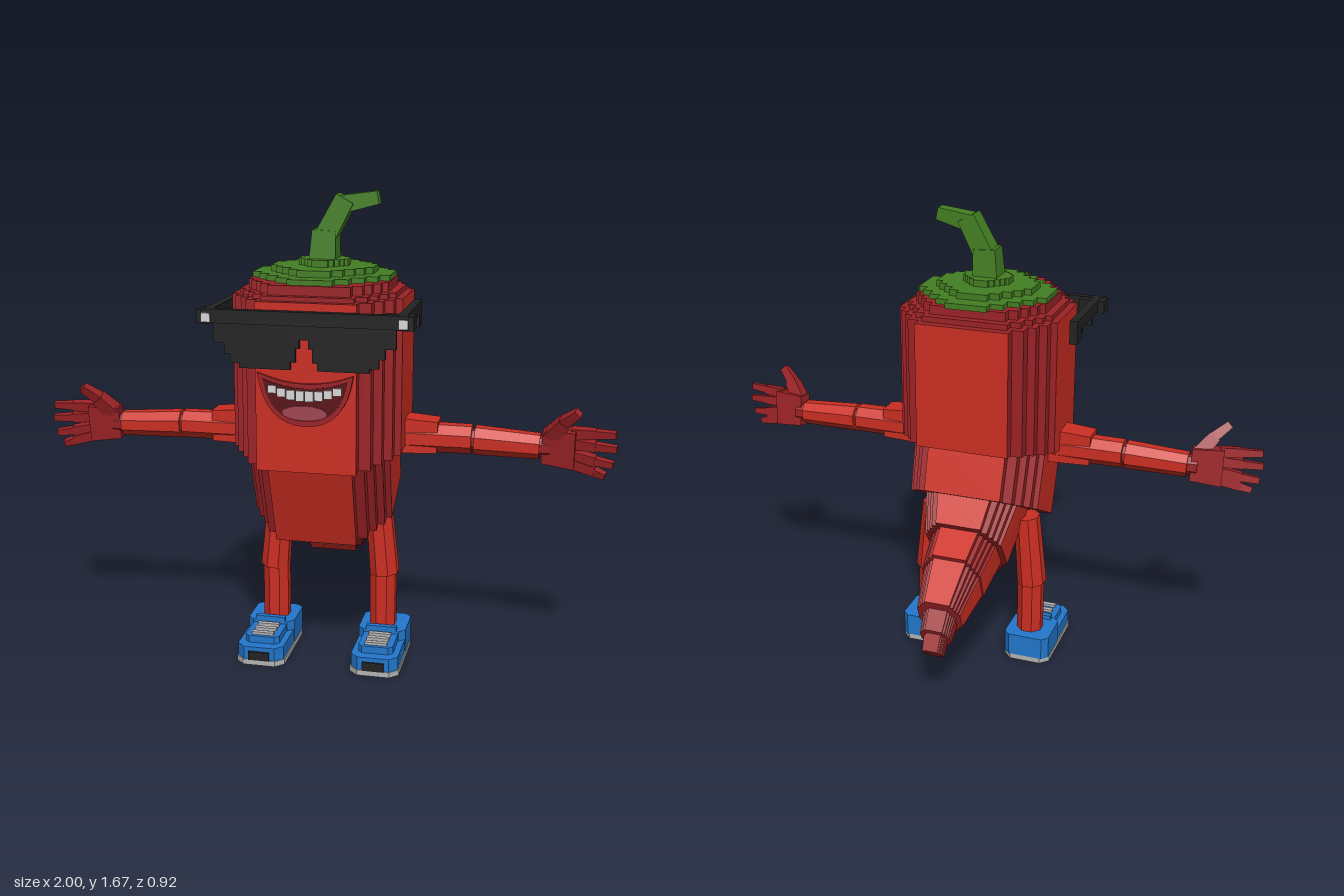
import * as THREE from 'three';

const mat = (name, color) => {
  const m = new THREE.MeshStandardMaterial({ color });
  m.name = name;
  return m;
};

export function createModel() {
  const red = mat('red', 0xcc2e22), darkRed = mat('dark red', 0x9c2226);
  const green = mat('green', 0x437f22), black = mat('black', 0x222222);
  const blue = mat('blue', 0x2277cc), grey = mat('grey', 0xb4b4b4);
  const maroon = mat('maroon', 0x5a1216), pink = mat('tongue pink', 0xa04552);
  const white = mat('tooth white', 0xd8d8d8);

  const root = new THREE.Group();
  root.name = 'pepperFigure';

  const add = (name, geo, material) => {
    const g = geo.index ? geo.toNonIndexed() : geo;
    g.computeVertexNormals();
    const mesh = new THREE.Mesh(g, material);
    mesh.name = name;
    root.add(mesh);
    return mesh;
  };
  // Box given by its two extreme values on each axis
  const box = (name, m, x0, x1, y0, y1, z0, z1) => add(name,
    new THREE.BoxGeometry(Math.abs(x1 - x0), y1 - y0, z1 - z0)
      .translate((x0 + x1) / 2, (y0 + y1) / 2, (z0 + z1) / 2), m);
  // Flat plate facing +z
  const plate = (name, m, shape, z, depth) => add(name,
    new THREE.ExtrudeGeometry(shape, { depth, bevelEnabled: false, curveSegments: 8 }).translate(0, 0, z), m);
  // Faceted rod from a to b, faces aligned with the axes
  const rod = (name, m, a, b, ra, rb, sides = 4, zScale = 1) => {
    const p = new THREE.Vector3(...a), q = new THREE.Vector3(...b), d = q.clone().sub(p);
    const k = 1 / Math.cos(Math.PI / sides);
    const g = new THREE.CylinderGeometry(rb * k, ra * k, d.length(), sides)
      .rotateY(Math.PI / sides).scale(1, 1, zScale);
    g.applyQuaternion(new THREE.Quaternion().setFromUnitVectors(new THREE.Vector3(0, 1, 0), d.normalize()));
    const c = p.add(q).multiplyScalar(0.5);
    return add(name, g.translate(c.x, c.y, c.z), m);
  };
  // Horizontal slab with cut corners
  const slab = (name, m, cx, hw, y0, y1, z0, z1, c) => {
    const h = (z1 - z0) / 2;
    const pts = [[hw, -h + c], [hw, h - c], [hw - c, h], [c - hw, h], [-hw, h - c], [-hw, c - h], [c - hw, -h], [hw - c, -h]];
    const s = new THREE.Shape(pts.map(p => new THREE.Vector2(...p)));
    const g = new THREE.ExtrudeGeometry(s, { depth: y1 - y0, bevelEnabled: false });
    return add(name, g.rotateX(-Math.PI / 2).translate(cx, y0, (z0 + z1) / 2), m);
  };

  // Stepped round outline, mirrored from one quadrant
  const stepped = q => {
    const r = [...q].reverse();
    return new THREE.Shape([
      ...q, ...r.map(([x, y]) => [-x, y]), ...q.map(([x, y]) => [-x, -y]), ...r.map(([x, y]) => [x, -y]),
    ].map(p => new THREE.Vector2(...p)));
  };
  const bodyOutline = stepped([[1, 0.43], [0.92, 0.43], [0.92, 0.57], [0.82, 0.57], [0.82, 0.7], [0.72, 0.7], [0.72, 0.86], [0.58, 0.86], [0.58, 1]]);
  const leafOutline = stepped([[1, 0.3], [0.86, 0.3], [0.86, 0.48], [0.7, 0.48], [0.7, 0.64], [0.52, 0.64], [0.52, 0.84], [0.32, 0.84], [0.32, 1]]);

  // Segment between two rings; ring = [half width, front z, front y, back z, back y]
  const segment = (name, outline, A, B, broad, steps) => {
    const g = new THREE.ExtrudeGeometry(outline, { depth: 1, bevelEnabled: false });
    const p = g.attributes.position;
    const caps = g.groups[0].count;
    g.clearGroups();
    g.addGroup(0, caps, 1);
    for (let i = caps; i < p.count; i += 6) {
      let onX = true, onY = true;
      for (let j = i; j < i + 6; j++) {
        onX = onX && Math.abs(p.getX(j)) > 0.99;
        onY = onY && Math.abs(p.getY(j)) > 0.99;
      }
      g.addGroup(i, 6, onX || onY ? 0 : 1);
    }
    for (let i = 0; i < p.count; i++) {
      const [hw, fz, fy, bz, by] = A.map((a, k) => a + (B[k] - a) * p.getZ(i));
      const t = (p.getY(i) + 1) / 2;
      p.setXYZ(i, p.getX(i) * hw, by + (fy - by) * t, bz + (fz - bz) * t);
    }
    add(name, g, [broad, steps]);
  };
  const tier = (name, outline, hw, y0, y1, z0, z1, m) =>
    segment(name, outline, [hw, z1, y1, z0, y1], [hw, z1, y0, z0, y0], m, m);

  // Body, belly and curling tail
  segment('upperBody', bodyOutline, [0.29, 0.425, 1.335, -0.15, 1.33], [0.29, 0.425, 0.77, -0.15, 0.88], red, darkRed);
  segment('belly', bodyOutline, [0.25, 0.4, 0.84, -0.08, 0.92], [0.245, 0.28, 0.475, -0.15, 0.71], red, darkRed);
  segment('tailBase', bodyOutline, [0.18, 0.13, 0.53, -0.1, 0.74], [0.145, -0.01, 0.345, -0.19, 0.61], red, darkRed);
  segment('tailMiddle', bodyOutline, [0.125, 0.01, 0.37, -0.16, 0.6], [0.11, -0.2, 0.3, -0.28, 0.53], red, darkRed);
  segment('tailEnd', bodyOutline, [0.105, -0.2, 0.305, -0.27, 0.52], [0.08, -0.345, 0.27, -0.4, 0.41], red, darkRed);
  segment('tailTip', bodyOutline, [0.06, -0.34, 0.285, -0.385, 0.385], [0.055, -0.395, 0.24, -0.435, 0.32], darkRed, darkRed);
  segment('tailPoint', bodyOutline, [0.042, -0.39, 0.25, -0.425, 0.31], [0.038, -0.42, 0.21, -0.458, 0.25], darkRed, darkRed);

  // Stepped shoulders, leafy cap and stem
  tier('topStepLow', bodyOutline, 0.265, 1.33, 1.35, -0.12, 0.4, darkRed);
  tier('topStepHigh', bodyOutline, 0.237, 1.34, 1.382, -0.09, 0.375, darkRed);
  [[0.235, 1.38, 1.4], [0.175, 1.4, 1.422], [0.085, 1.42, 1.445]].forEach(([r, y0, y1]) =>
    tier('leafCap', leafOutline, r, y0, y1, 0.13 - r, 0.13 + r, green));
  rod('stemBase', green, [0, 1.43, 0.135], [0.005, 1.54, 0.135], 0.046, 0.04);
  rod('stemMiddle', green, [0.008, 1.52, 0.135], [0.075, 1.645, 0.135], 0.036, 0.033);
  rod('stemTip', green, [0.06, 1.625, 0.135], [0.185, 1.65, 0.135], 0.03, 0.022);

  // Smiling mouth
  const smile = (w, top, dip, bottom) => {
    const s = new THREE.Shape();
    s.moveTo(-w, top);
    s.quadraticCurveTo(-w * 0.85, bottom, 0, bottom);
    s.quadraticCurveTo(w * 0.85, bottom, w, top);
    s.quadraticCurveTo(0, dip, -w, top);
    return s;
  };
  plate('lips', darkRed, smile(0.16, 1.105, 1.04, 0.93), 0.42, 0.014);
  plate('mouth', maroon, smile(0.14, 1.085, 1.03, 0.947), 0.432, 0.005);
  const tongue = new THREE.Shape().absellipse(0, 0.977, 0.075, 0.024, 0, Math.PI * 2, false);
  plate('tongue', pink, tongue, 0.434, 0.006);
  for (let i = -3.5; i <= 3.5; i++) {
    const x = i * 0.031, y = 1.016 + x * x * 2;
    box('tooth', white, x - 0.014, x + 0.014, y, y + 0.036 - Math.abs(i) * 0.003, 0.434, 0.442);
  }

  // Sunglasses front
  box('glassesBrow', black, -0.34, 0.34, 1.265, 1.31, 0.43, 0.455);
  box('glassesBridge', black, -0.05, 0.05, 1.22, 1.27, 0.432, 0.45);

  for (const s of [-1, 1]) {
    // Lens with stepped lower edge, hinge block, stud and temple
    const lens = new THREE.Shape([[0.015, 1.28], [0.015, 1.19], [0.028, 1.19], [0.028, 1.145], [0.045, 1.145], [0.045, 1.12],
      [0.215, 1.12], [0.215, 1.135], [0.245, 1.135], [0.245, 1.165], [0.265, 1.165], [0.265, 1.2], [0.3, 1.2], [0.3, 1.28]]
      .map(([x, y]) => new THREE.Vector2(x * s, y)));
    plate('lens', black, lens, 0.434, 0.014);
    box('glassesHinge', black, s * 0.26, s * 0.355, 1.262, 1.308, 0.395, 0.45);
    box('hingeStud', white, s * 0.308, s * 0.338, 1.268, 1.298, 0.452, 0.46);
    box('templeArm', black, s * 0.303, s * 0.332, 1.268, 1.31, 0.12, 0.44);
    box('templeTip', black, s * 0.303, s * 0.332, 1.225, 1.28, 0.12, 0.175);

    // Arm
    rod('shoulder', red, [s * 0.2, 0.85, 0.13], [s * 0.4, 0.845, 0.13], 0.065, 0.055, 4, 0.8);
    rod('upperArm', red, [s * 0.25, 0.838, 0.13], [s * 0.515, 0.838, 0.13], 0.05, 0.048, 8);
    rod('elbow', darkRed, [s * 0.5, 0.835, 0.13], [s * 0.54, 0.835, 0.13], 0.036, 0.036, 8);
    rod('forearm', red, [s * 0.525, 0.836, 0.13], [s * 0.745, 0.828, 0.135], 0.048, 0.042, 8);
    rod('wrist', darkRed, [s * 0.73, 0.828, 0.135], [s * 0.78, 0.828, 0.137], 0.034, 0.034, 8);

    // Hand with four fingers and a thumb
    rod('palm', darkRed, [s * 0.755, 0.833, 0.137], [s * 0.865, 0.83, 0.15], 0.058, 0.066, 4, 0.5);
    [[0.885, 0.89, 0.995], [0.85, 0.842, 1], [0.81, 0.787, 0.99], [0.782, 0.747, 0.965]].forEach(([y0, y1, tip]) => {
      const mid = 0.93, ym = y0 + (y1 - y0) * 0.6;
      rod('fingerBase', darkRed, [s * 0.85, y0, 0.15], [s * mid, ym, 0.162], 0.018, 0.016);
      rod('fingerTip', darkRed, [s * (mid - 0.01), ym, 0.16], [s * tip, y1, 0.172], 0.014, 0.011);
    });
    rod('thumbBase', darkRed, [s * 0.78, 0.87, 0.15], [s * 0.825, 0.927, 0.18], 0.026, 0.022);
    rod('thumbTip', darkRed, [s * 0.815, 0.92, 0.175], [s * 0.87, 0.968, 0.207], 0.019, 0.014);

    // Leg
    rod('thigh', red, [s * 0.18, 0.57, 0.057], [s * 0.204, 0.3, 0.057], 0.044, 0.05, 8, 1.1);
    rod('shin', red, [s * 0.2, 0.32, 0.057], [s * 0.2, 0.08, 0.057], 0.046, 0.046, 8);

    // Shoe
    const cx = s * 0.207;
    slab('sole', grey, cx, 0.088, 0, 0.02, -0.03, 0.303, 0.03);
    slab('shoeHeel', blue, cx, 0.086, 0.02, 0.104, -0.03, 0.14, 0.022);
    slab('shoeToe', blue, cx, 0.084, 0.02, 0.068, 0.08, 0.3, 0.028);
    slab('shoeUpper', blue, cx, 0.062, 0.06, 0.094, 0.1, 0.262, 0.015);
    box('shoeTongue', blue, cx - 0.055, cx + 0.055, 0.09, 0.12, 0.12, 0.14);
    box('toePatch', black, cx - 0.038, cx + 0.038, 0.02, 0.052, 0.298, 0.307);
    for (const z of [0.16, 0.2, 0.24]) box('lace', grey, cx - 0.04, cx + 0.04, 0.09, 0.104, z - 0.009, z + 0.009);
  }
  return root;
}
